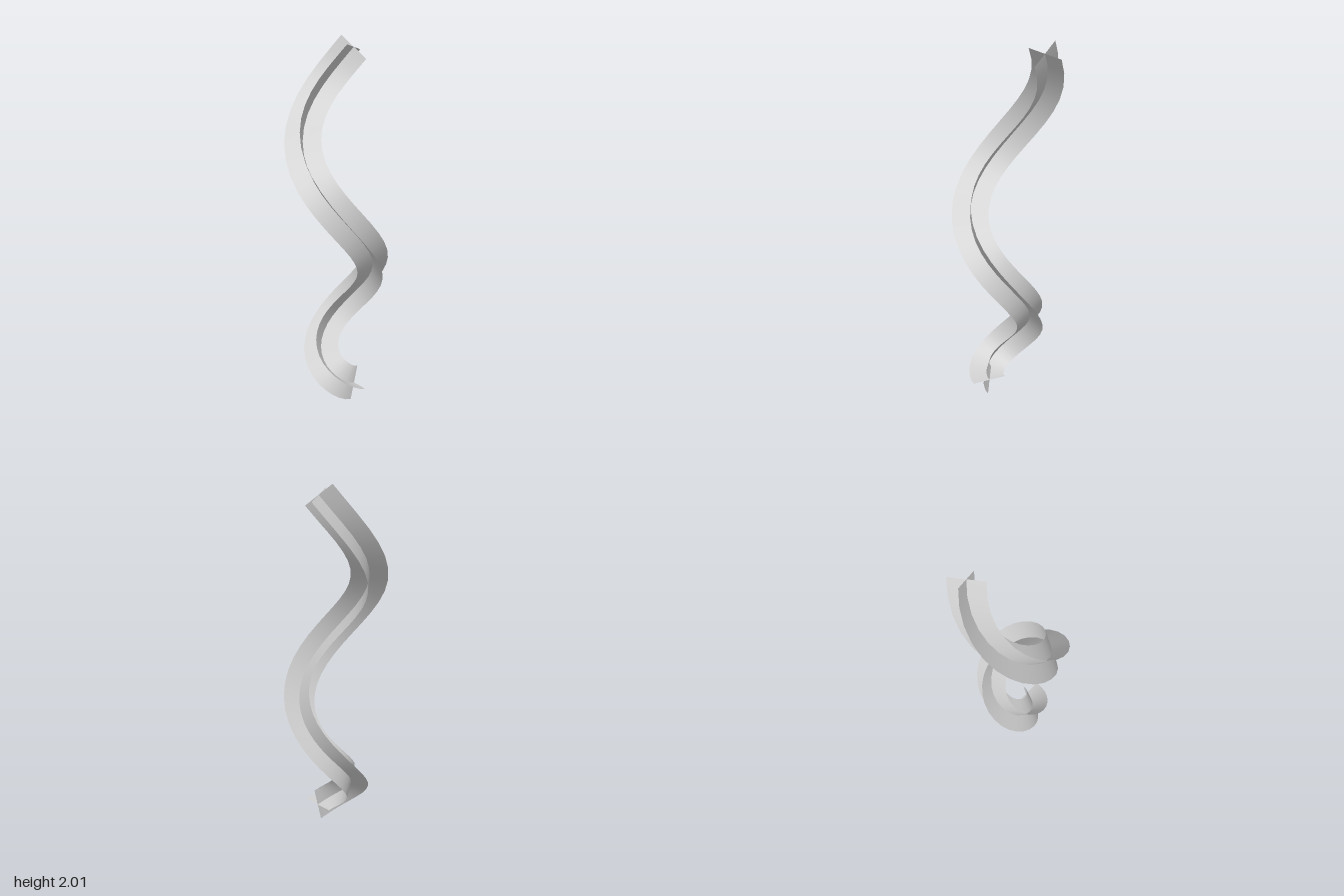
import * as THREE from 'three';

const SEGMENTS = 40;
const HALF_WIDTH = 0.1;
const ROLL = THREE.MathUtils.degToRad(12);

// Widening spiral path whose climb steepens from a flat start
function spiralPoint(u) {
  const { degToRad, lerp } = THREE.MathUtils;
  const angle = degToRad(lerp(-3, 592, u));
  const radius = lerp(0.095, 0.234, u);
  return new THREE.Vector3(
    lerp(0.02, 0.015, u) + radius * Math.cos(angle),
    0.098 + 1.85 * Math.pow(u, 1.55),
    lerp(-0.013, 0, u) + radius * Math.sin(angle)
  );
}

// Frames carried along the path with a slight even roll
function pathFrames() {
  const points = [];
  for (let i = 0; i <= SEGMENTS; i++) points.push(spiralPoint(i / SEGMENTS));
  const side = new THREE.Vector3(1, 0, 0);
  let last = null;
  return points.map((point, i) => {
    const before = points[Math.max(i - 1, 0)];
    const after = points[Math.min(i + 1, SEGMENTS)];
    const tangent = after.clone().sub(before).normalize();
    if (last) {
      side.applyQuaternion(new THREE.Quaternion().setFromUnitVectors(last, tangent));
      side.applyAxisAngle(tangent, ROLL / SEGMENTS);
    }
    side.addScaledVector(tangent, -side.dot(tangent)).normalize();
    last = tangent;
    return { point, side: side.clone(), up: tangent.clone().cross(side) };
  });
}

// Flat strip centred on the path, spread along one frame axis
function ribbon(frames, axis, name, material) {
  const positions = [];
  const index = [];
  frames.forEach((frame, i) => {
    for (const s of [-1, 0, 1]) {
      positions.push(...frame.point.clone().addScaledVector(frame[axis], s * HALF_WIDTH).toArray());
    }
    if (i === SEGMENTS) return;
    for (let j = 0; j < 2; j++) {
      const a = i * 3 + j;
      index.push(a, a + 1, a + 3, a + 1, a + 4, a + 3);
    }
  });
  const geometry = new THREE.BufferGeometry();
  geometry.setAttribute('position', new THREE.Float32BufferAttribute(positions, 3));
  geometry.setIndex(index);
  geometry.computeVertexNormals();
  const mesh = new THREE.Mesh(geometry, material);
  mesh.name = name;
  return mesh;
}

export function createModel() {
  const group = new THREE.Group();
  group.name = 'crossedSpiralRibbons';
  const material = new THREE.MeshStandardMaterial({ color: 0xcccccc, side: THREE.DoubleSide });
  const frames = pathFrames();
  group.add(ribbon(frames, 'side', 'flatRibbon', material));
  group.add(ribbon(frames, 'up', 'uprightRibbon', material));
  return group;
}
